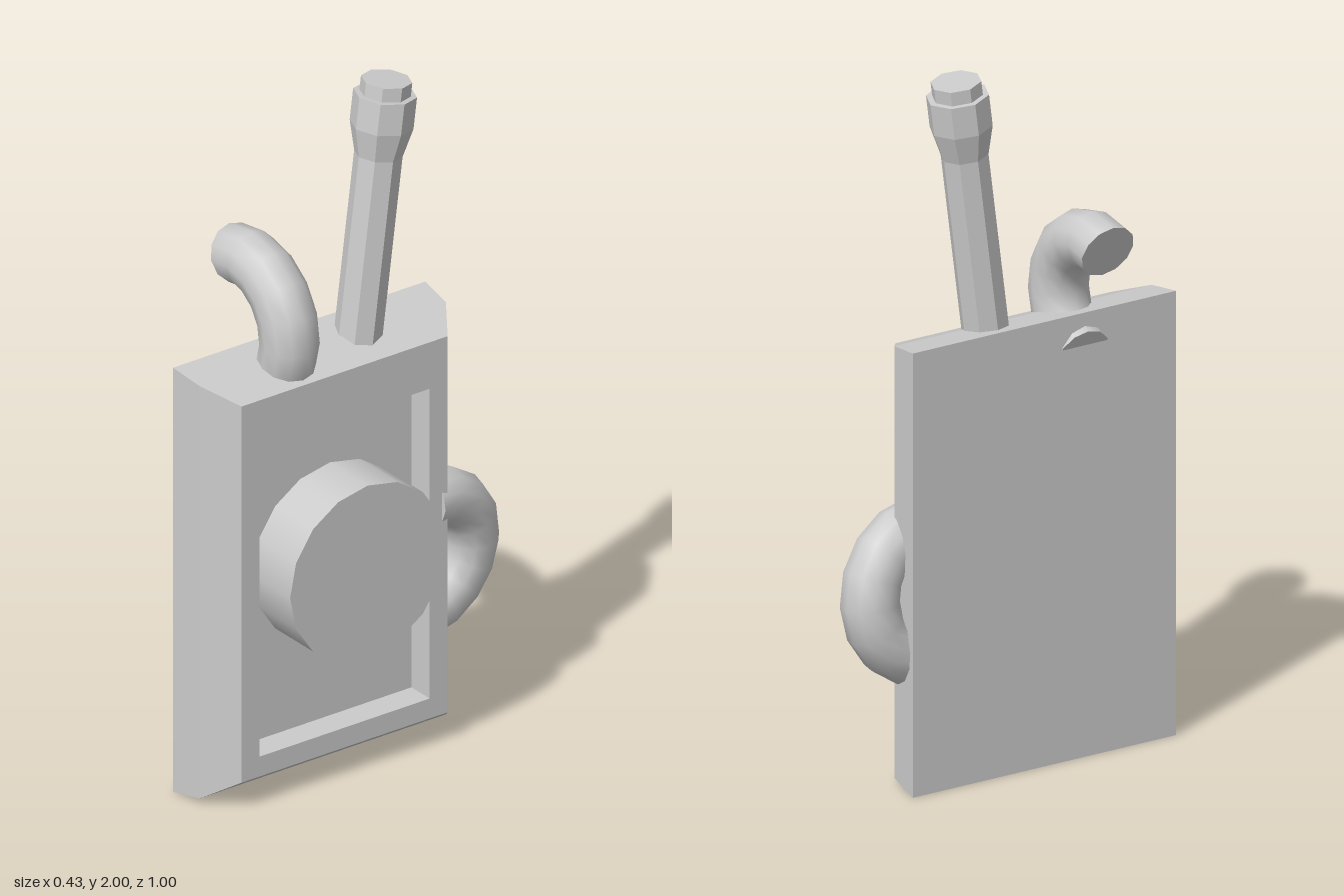
import * as THREE from 'three';

const grey = (flat = false) => new THREE.MeshStandardMaterial({ color: 0xcccccc, flatShading: flat });

function part(name, geometry, flat = false) {
  const mesh = new THREE.Mesh(geometry, grey(flat));
  mesh.name = name;
  return mesh;
}

// Skin rectangular loops [x, zBack, zFront, yLow, yHigh] and close both ends
function loftRects(loops) {
  const rings = loops.map(([x, zb, zf, y0, y1]) =>
    [[x, y0, zf], [x, y0, zb], [x, y1, zb], [x, y1, zf]]);
  const pos = [];
  const quad = (a, b, c, d) => pos.push(...a, ...b, ...c, ...a, ...c, ...d);
  for (let k = 0; k < rings.length - 1; k++) {
    const a = rings[k], b = rings[k + 1];
    for (let i = 0; i < 4; i++) {
      const j = (i + 1) % 4;
      quad(a[i], a[j], b[j], b[i]);
    }
  }
  quad(...[...rings[0]].reverse());
  quad(...rings[rings.length - 1]);
  const geometry = new THREE.BufferGeometry();
  geometry.setAttribute('position', new THREE.Float32BufferAttribute(pos, 3));
  geometry.computeVertexNormals();
  return geometry;
}

// Half ring of round bar with flat ends, arching toward local +y
function hook(name) {
  const R = 0.18, r = 0.082;
  const group = new THREE.Group();
  group.name = name;
  group.add(part(name + 'Bar', new THREE.TorusGeometry(R, r, 12, 8, Math.PI)));
  for (const side of [1, -1]) {
    const cap = part(name + 'End', new THREE.CircleGeometry(r, 12));
    cap.rotation.x = Math.PI / 2;
    cap.position.x = side * R;
    group.add(cap);
  }
  return group;
}

export function createModel() {
  const model = new THREE.Group();

  // Bevelled slab with a recessed panel in its +x face
  model.add(part('body', loftRects([
    [-0.08, -0.345, 0.5, 0, 1.28],
    [0.025, -0.335, 0.49, 0.02, 1.265],
    [0.127, -0.265, 0.425, 0.09, 1.225],
    [0.127, -0.205, 0.365, 0.15, 1.085],
    [0.045, -0.205, 0.365, 0.15, 1.085],
  ]), true));

  // Round drum standing out of the recess
  const drum = part('drum', new THREE.CylinderGeometry(0.26, 0.26, 0.175, 16));
  drum.rotation.z = -Math.PI / 2;
  drum.position.set(0.1275, 0.653, 0.068);
  model.add(drum);

  // Leaning eight-sided antenna with a flared head and cap
  const profile = [[0, 0], [0.066, 0], [0.066, 0.58], [0.087, 0.665], [0.087, 0.757],
    [0.07, 0.757], [0.07, 0.797], [0, 0.797]].map(([x, y]) => new THREE.Vector2(x, y));
  const antenna = part('antenna', new THREE.LatheGeometry(profile, 8), true);
  antenna.position.set(0.013, 1.2, -0.044);
  antenna.rotation.x = -0.128;
  model.add(antenna);

  // Hook curling over the top toward -x
  const topHook = hook('topHook');
  topHook.position.set(-0.13, 1.323, 0.207);
  topHook.rotation.z = -THREE.MathUtils.degToRad(70);
  model.add(topHook);

  // Slightly tilted loop handle on the back edge
  const backHandle = hook('backHandle');
  const along = new THREE.Vector3(0.1, 1, 0).normalize();
  const across = along.clone().cross(new THREE.Vector3(-0.12, 0, -1)).normalize();
  const out = across.clone().cross(along);
  backHandle.quaternion.setFromRotationMatrix(new THREE.Matrix4().makeBasis(along, out, across));
  backHandle.position.set(0.042, 0.537, -0.238);
  model.add(backHandle);

  return model;
}
